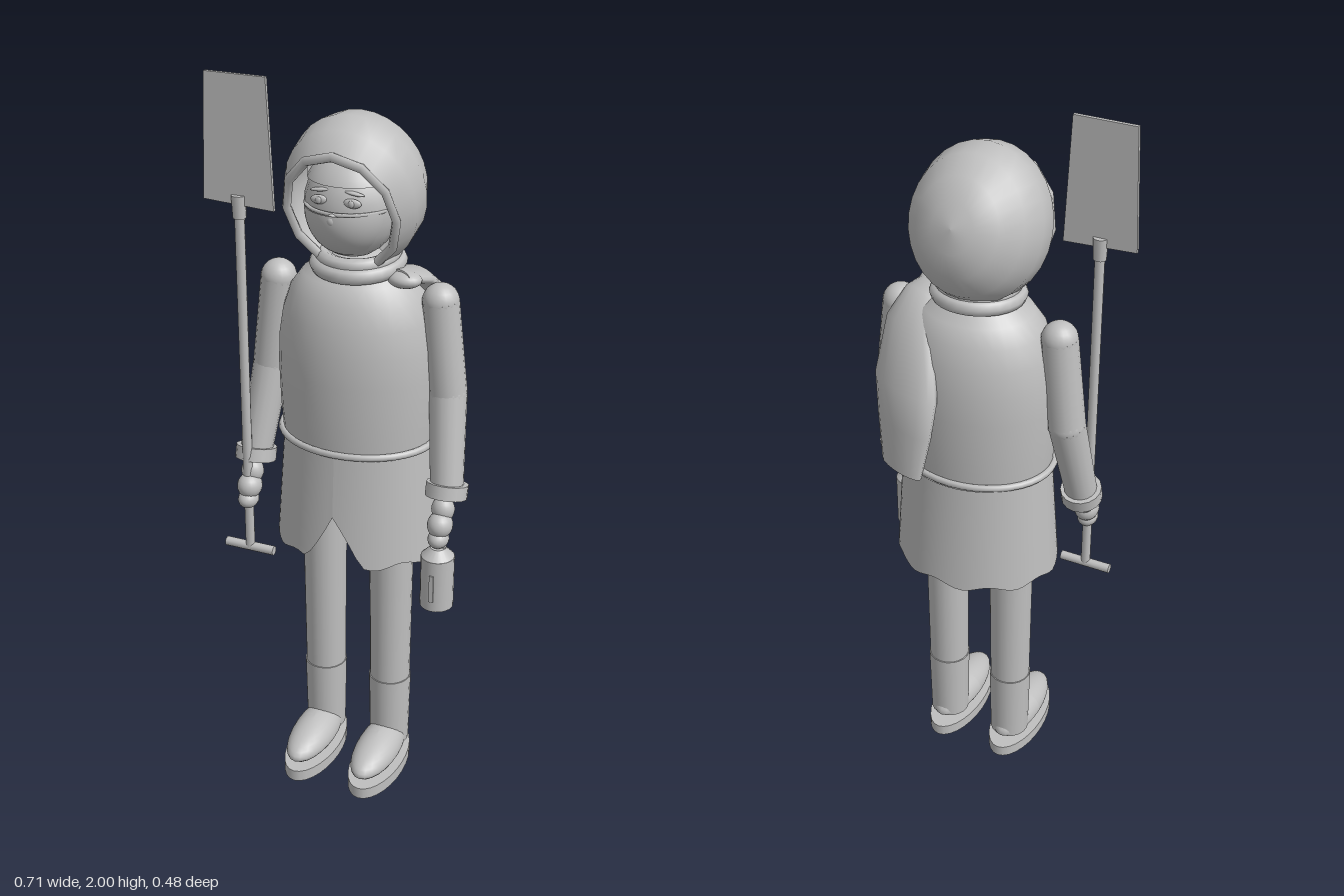
import * as THREE from 'three';

const cloth = new THREE.MeshStandardMaterial({ color: 0xbfbfbf, side: THREE.DoubleSide });
cloth.name = 'plain grey';

const V = (x, y, z) => new THREE.Vector3(x, y, z);

function add(parent, name, geo, x = 0, y = 0, z = 0) {
  const m = new THREE.Mesh(geo, cloth);
  m.name = name;
  m.position.set(x, y, z);
  parent.add(m);
  return m;
}
const ball = (parent, name, x, y, z, rx, ry = rx, rz = rx) => {
  const m = add(parent, name, new THREE.SphereGeometry(1, 20, 14), x, y, z);
  m.scale.set(rx, ry, rz);
  return m;
};
const lathe = (pts, seg = 32) =>
  new THREE.LatheGeometry(pts.map(p => new THREE.Vector2(p[0], p[1])), seg);

// Tapered cylinder between two points
function limb(parent, name, a, b, ra, rb, seg = 16) {
  const d = b.clone().sub(a);
  const m = add(parent, name, new THREE.CylinderGeometry(rb, ra, d.length(), seg));
  m.position.copy(a).addScaledVector(d, 0.5);
  m.quaternion.setFromUnitVectors(V(0, 1, 0), d.normalize());
  return m;
}

// Loft of flat ellipses along a path: rows are [x, y, z, halfWidth, halfThickness]
function loft(rows, wide, seg = 16) {
  const pos = [], idx = [];
  const c = rows.map(r => V(r[0], r[1], r[2]));
  rows.forEach((r, i) => {
    const t = c[Math.min(i + 1, c.length - 1)].clone().sub(c[Math.max(i - 1, 0)]).normalize();
    const thick = t.clone().cross(wide).normalize();
    for (let j = 0; j < seg; j++) {
      const a = (j / seg) * Math.PI * 2;
      const p = c[i].clone().addScaledVector(wide, Math.cos(a) * r[3]).addScaledVector(thick, Math.sin(a) * r[4]);
      pos.push(p.x, p.y, p.z);
      if (i < rows.length - 1) {
        const k = i * seg + j, n = i * seg + (j + 1) % seg;
        idx.push(k, n, k + seg, n, n + seg, k + seg);
      }
    }
  });
  // End caps with their own rim so the edge stays crisp
  [0, rows.length - 1].forEach(i => {
    const base = pos.length / 3;
    for (let j = 0; j < seg; j++) pos.push(...pos.slice((i * seg + j) * 3, (i * seg + j) * 3 + 3));
    for (let j = 1; j < seg - 1; j++) {
      idx.push(...(i ? [base, base + j, base + j + 1] : [base, base + j + 1, base + j]));
    }
  });
  const g = new THREE.BufferGeometry();
  g.setAttribute('position', new THREE.Float32BufferAttribute(pos, 3));
  g.setIndex(idx);
  g.computeVertexNormals();
  return g;
}

function makeLeg(side) {
  const g = new THREE.Group();
  g.name = side > 0 ? 'leftLeg' : 'rightLeg';
  g.position.x = side * 0.1;
  add(g, 'trouserLeg', new THREE.CylinderGeometry(0.063, 0.057, 0.66, 20), 0, 0.6, 0.008);
  add(g, 'bootShaft', new THREE.CylinderGeometry(0.06, 0.056, 0.22, 20), 0, 0.17, 0.008);
  const sole = add(g, 'sole', new THREE.CylinderGeometry(1, 1, 0.034, 28), 0, 0.017, 0.085);
  sole.scale.set(0.072, 1, 0.16);
  // Shoe: ellipsoid, lower towards the toe and flat underneath
  const shoe = new THREE.SphereGeometry(1, 24, 16), p = shoe.attributes.position;
  for (let i = 0; i < p.count; i++) {
    const z = p.getZ(i), y = p.getY(i);
    p.setXYZ(i, p.getX(i) * 0.062, y > 0 ? y * (0.056 - 0.012 * z) : y * 0.038, z * 0.148);
  }
  shoe.computeVertexNormals();
  add(g, 'shoe', shoe, 0, 0.07, 0.092);
  return g;
}

function makeArm(side) {
  const g = new THREE.Group();
  g.name = side > 0 ? 'leftArm' : 'rightArm';
  const s = V(side * 0.225, 1.45, 0.01), e = V(side * 0.252, 1.2, 0.01), w = V(side * 0.277, 0.95, 0.07);
  ball(g, 'shoulder', s.x, s.y, s.z, 0.048);
  limb(g, 'upperSleeve', s, e, 0.048, 0.05);
  ball(g, 'elbow', e.x, e.y, e.z, 0.05);
  limb(g, 'lowerSleeve', e, w, 0.05, 0.044);
  limb(g, 'cuff', w.clone().add(V(0, 0.018, -0.005)), w.clone().add(V(0, -0.018, 0.005)), 0.056, 0.056);
  ball(g, 'wrist', side * 0.277, 0.905, 0.095, 0.031, 0.036, 0.031);
  ball(g, 'hand', side * 0.277, 0.868, 0.115, 0.034, 0.036, 0.038);
  ball(g, 'fingers', side * 0.277, 0.832, 0.125, 0.028, 0.026, 0.034);
  return g;
}

function makeHead() {
  const g = new THREE.Group();
  g.name = 'head';
  ball(g, 'face', 0, 1.69, 0.05, 0.122, 0.135, 0.115);
  // Lower-face mask: band of a slightly larger ellipsoid
  const mask = add(g, 'mask', new THREE.SphereGeometry(1, 24, 12, 0, Math.PI, 1.5, 1.15), 0, 1.69, 0.06);
  mask.rotation.y = 0;
  mask.scale.set(0.112, 0.125, 0.13);
  add(g, 'maskEdge', new THREE.TorusGeometry(0.112, 0.005, 6, 24, Math.PI), 0, 1.698, 0.06)
    .rotation.x = Math.PI / 2;
  ball(g, 'nose', 0, 1.685, 0.178, 0.014, 0.016, 0.014);
  for (const s of [-1, 1]) {
    ball(g, 'eye', s * 0.043, 1.725, 0.153, 0.024, 0.012, 0.008);
    ball(g, 'pupil', s * 0.043, 1.725, 0.16, 0.008, 0.009, 0.004);
    const brow = ball(g, 'brow', s * 0.045, 1.748, 0.145, 0.027, 0.005, 0.008);
    brow.rotation.z = -s * 0.12;
  }
  const band = add(g, 'cap', new THREE.SphereGeometry(1, 24, 8, 0, Math.PI * 2, 0, 1.05), 0, 1.69, 0.05);
  band.scale.set(0.13, 0.143, 0.123);

  // Hood opens forward and slightly down
  const hood = new THREE.Group();
  hood.name = 'hood';
  hood.position.set(0, 1.72, 0.015);
  hood.rotation.x = Math.PI / 2 + 0.32;
  hood.scale.z = 1.13;
  add(hood, 'hoodShell', lathe([[0, -0.165], [0.055, -0.157], [0.11, -0.13], [0.155, -0.08],
    [0.178, -0.015], [0.176, 0.05], [0.152, 0.11], [0.138, 0.11], [0.15, 0.05], [0.14, -0.01]], 28));
  const rim = add(hood, 'hoodRim', new THREE.TorusGeometry(0.146, 0.012, 6, 12), 0, 0.113, 0);
  rim.rotation.x = Math.PI / 2;
  g.add(hood);
  return g;
}

function makeCoat() {
  const g = new THREE.Group();
  g.name = 'coat';
  const torso = add(g, 'torso', lathe([[0.205, 1.03], [0.212, 1.12], [0.216, 1.24], [0.213, 1.32],
    [0.202, 1.39], [0.182, 1.45], [0.15, 1.495], [0.1, 1.525], [0.07, 1.56], [0, 1.57]]), 0, 0, 0.006);
  torso.scale.z = 0.82;
  const belt = add(g, 'belt', new THREE.TorusGeometry(0.211, 0.01, 8, 40), 0, 1.048, 0.006);
  belt.rotation.x = Math.PI / 2;
  belt.scale.y = 0.82;
  // Skirt with a front notch and a wavy hem
  const skirt = new THREE.CylinderGeometry(0.207, 0.23, 0.32, 64, 1, true), p = skirt.attributes.position;
  for (let i = 0; i < p.count; i++) {
    if (p.getY(i) > 0) continue;
    const a = Math.atan2(p.getX(i), p.getZ(i));
    const lift = 0.14 * Math.max(0, 1 - Math.abs(a) / 0.36) + 0.008 * (1 + Math.sin(a * 9));
    p.setXYZ(i, p.getX(i) * (1 - lift * 0.25), -0.165 + lift, p.getZ(i) * (1 - lift * 0.25));
  }
  skirt.computeVertexNormals();
  add(g, 'skirt', skirt, 0, 0.88, 0).scale.z = 0.84;
  return g;
}

function makeScarf() {
  const g = new THREE.Group();
  g.name = 'scarf';
  [[1.553, 0.092, 0.02], [1.53, 0.104, 0.022]].forEach(([y, r, t]) => {
    const loop = add(g, 'scarfLoop', new THREE.TorusGeometry(r, t, 8, 28), 0.02, y, 0.015);
    loop.rotation.x = Math.PI / 2 + 0.08;
  });
  ball(g, 'scarfKnot', 0.16, 1.51, 0.05, 0.045, 0.022, 0.035);
  // Broad tail hanging down the back over the left shoulder
  add(g, 'scarfTail', loft([[0.15, 1.52, 0.06, 0.035, 0.016], [0.165, 1.5, -0.02, 0.06, 0.022],
    [0.16, 1.44, -0.085, 0.095, 0.034], [0.148, 1.3, -0.15, 0.115, 0.042],
    [0.142, 1.2, -0.175, 0.1, 0.036], [0.14, 1.08, -0.2, 0.075, 0.026]], V(0.92, 0, 0.39)));
  return g;
}

function makeShovel() {
  const g = new THREE.Group();
  g.name = 'shovel';
  g.position.set(-0.262, 0, 0.117);
  add(g, 'shaft', new THREE.CylinderGeometry(0.013, 0.013, 1.0, 12), 0, 1.17, 0);
  add(g, 'handle', new THREE.CylinderGeometry(0.013, 0.013, 0.145, 12), 0, 0.675, 0).rotation.z = Math.PI / 2;
  add(g, 'socket', new THREE.CylinderGeometry(0.02, 0.017, 0.06, 12), 0, 1.665, 0);
  const s = new THREE.Shape([[-0.098, 1.675], [0.098, 1.665], [0.083, 2], [-0.083, 2]]
    .map(q => new THREE.Vector2(...q)));
  add(g, 'blade', new THREE.ExtrudeGeometry(s, { depth: 0.01, bevelEnabled: false }), 0, 0, -0.005);
  return g;
}

function makeLantern() {
  const g = new THREE.Group();
  g.name = 'lantern';
  g.position.set(0.297, 0, 0.132);
  add(g, 'lanternBody', new THREE.CylinderGeometry(0.045, 0.045, 0.15, 20), 0, 0.71, 0);
  add(g, 'lanternLid', new THREE.CylinderGeometry(0.02, 0.045, 0.025, 20), 0, 0.797, 0);
  add(g, 'lanternHandle', new THREE.TorusGeometry(0.02, 0.004, 6, 16), 0, 0.82, 0);
  add(g, 'lanternSlot', new THREE.BoxGeometry(0.012, 0.08, 0.008), 0, 0.705, 0.044);
  return g;
}

export function createModel() {
  const model = new THREE.Group();
  model.name = 'hoodedWorker';
  const body = new THREE.Group();
  body.name = 'body';
  body.position.x = 0.018;
  body.add(makeLeg(-1), makeLeg(1), makeArm(-1), makeArm(1), makeCoat(), makeHead());
  model.add(body, makeScarf(), makeShovel(), makeLantern());
  return model;
}
